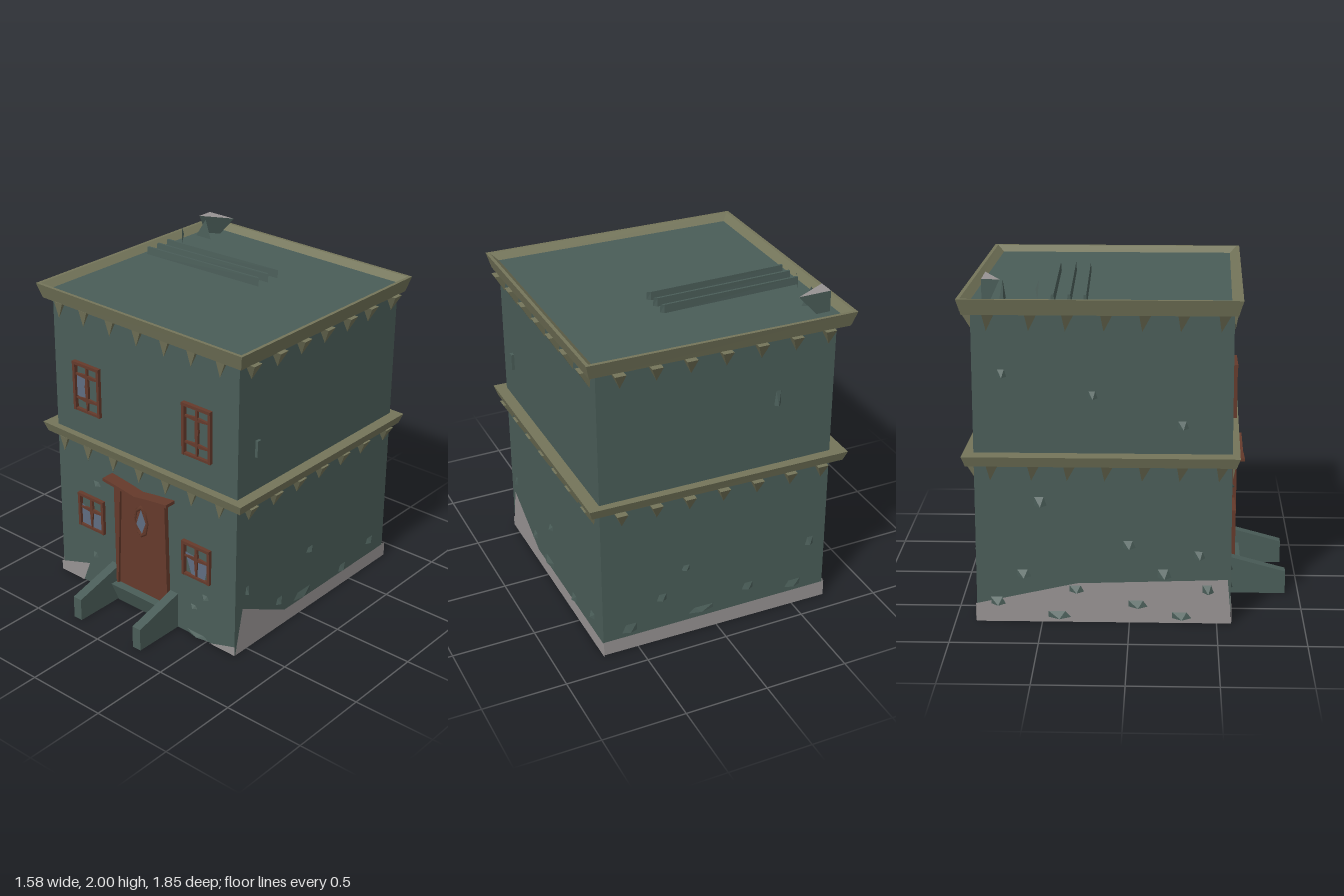
import * as THREE from 'three';

const mat = (name, color, side = THREE.DoubleSide) => {
  const m = new THREE.MeshStandardMaterial({ color, side });
  m.name = name;
  return m;
};

// Flat-faced geometry from a list of polygons, each a loop of [x, y, z] points
function faces(polys) {
  const pos = [];
  for (const p of polys)
    for (let i = 1; i < p.length - 1; i++) pos.push(...p[0], ...p[i], ...p[i + 1]);
  const g = new THREE.BufferGeometry();
  g.setAttribute('position', new THREE.Float32BufferAttribute(pos, 3));
  g.computeVertexNormals();
  return g;
}

// Skin between rings that run counter-clockwise seen from above, lowest first
function loft(rings, bottom = true, top = true) {
  const polys = [];
  for (let r = 0; r < rings.length - 1; r++) {
    const a = rings[r], b = rings[r + 1];
    a.forEach((p, i) => {
      const j = (i + 1) % a.length;
      polys.push([p, a[j], b[j], b[i]]);
    });
  }
  if (bottom) polys.push([...rings[0]].reverse());
  if (top) polys.push(rings[rings.length - 1]);
  return faces(polys);
}

const pyramid = (base, apex) =>
  faces([base, ...base.map((p, i) => [base[(i + 1) % base.length], p, apex])]);

// Points on the slightly crooked walls: u along the wall, v up, o outwards
const wall = {
  front: (u, v, o = 0) => [u, v, 0.59 + 0.015 * u - 0.005 * v + o],
  right: (u, v, o = 0) => [0.71 + 0.008 * v + o, v, u],
  back: (u, v, o = 0) => [u, v, -0.865 + 0.015 * u + 0.006 * v - o],
  left: (u, v, o = 0) => [-0.705 + 0.003 * v - o, v, u],
};
const bodyRing = (y) => {
  const xl = wall.left(0, y)[0], xr = wall.right(0, y)[0];
  return [wall.front(xl, y), wall.front(xr, y), wall.back(xr, y), wall.back(xl, y)];
};
// Cornice outline, pulled in by d
const corniceRing = (y, d) => [
  [-0.79 + d, y, 0.615 - d], [0.785 - d, y, 0.65 - d],
  [0.79 - d, y, -0.89 + d], [-0.79 + d, y, -0.93 + d],
];

export function createModel() {
  const plaster = mat('green plaster', 0x4a5d58);
  const trim = mat('olive trim', 0x74755a);
  const stone = mat('grey stone', 0x979393);
  const wood = mat('red brown wood', 0x653a2b);
  const glass = mat('blue glass', 0x5f6c80);

  const model = new THREE.Group();
  model.name = 'house';
  const add = (name, geo, m, parent = model) => {
    const mesh = new THREE.Mesh(geo, m);
    mesh.name = name;
    parent.add(mesh);
    return mesh;
  };
  const group = (name) => {
    const g = new THREE.Group();
    g.name = name;
    model.add(g);
    return g;
  };
  const box = (name, x0, x1, y0, y1, z0, z1, m, parent) =>
    add(name, new THREE.BoxGeometry(x1 - x0, y1 - y0, z1 - z0), m, parent)
      .position.set((x0 + x1) / 2, (y0 + y1) / 2, (z0 + z1) / 2);
  const extrude = (name, pts, z, depth, m, parent) => {
    const s = new THREE.Shape(pts.map(([x, y]) => new THREE.Vector2(x, y)));
    add(name, new THREE.ExtrudeGeometry(s, { depth, bevelEnabled: false }), m, parent).position.z = z;
  };

  // Hollow walls, open underneath, and the sunken roof
  add('walls', loft([bodyRing(0), bodyRing(1.84)], false, false), plaster);
  add('roof', faces([corniceRing(1.875, 0.06)]), plaster);

  // Cornices: a solid floor band and a roof rim with a sloping inner lip
  add('floorCornice', loft([corniceRing(0.96, 0.02), corniceRing(1.02, 0)]), trim);
  add('roofCornice', loft([corniceRing(1.82, 0.025), corniceRing(1.91, 0),
    corniceRing(1.91, 0.02), corniceRing(1.87, 0.065)], true, false), trim);

  // Pointed brackets under both cornices
  const brackets = group('brackets');
  const alongX = [-0.63, -0.43, -0.22, -0.01, 0.2, 0.4, 0.61];
  const alongZ = [0.52, 0.3, 0.09, -0.12, -0.33, -0.53, -0.76];
  for (const y of [0.962, 1.822])
    for (const side of Object.keys(wall)) {
      const at = wall[side];
      for (const u of side === 'front' || side === 'back' ? alongX : alongZ) {
        const o = side === 'front' ? 0.025 : 0.065;
        add('bracket', pyramid([at(u - 0.035, y), at(u + 0.03, y), at(u + 0.03, y, o), at(u - 0.035, y, o)],
          at(u - 0.02, y - 0.105, 0.005)), trim, brackets);
      }
    }

  // Bare stone showing at the foot of each wall
  const plinth = {
    front: [[[-0.715, 0], [-0.52, 0], [-0.465, 0.14], [-0.715, 0.06]], [[0.52, 0], [0.715, 0], [0.715, 0.06]]],
    right: [[[0.6, 0], [-0.875, 0], [-0.875, 0.09], [0.15, 0.09], [0.54, 0.29]]],
    back: [[[-0.715, 0], [0.715, 0], [0.715, 0.09], [-0.715, 0.1]]],
    left: [[[0.585, 0], [-0.88, 0], [-0.88, 0.11], [-0.3, 0.24], [0.56, 0.27]]],
  };
  for (const side in plinth)
    for (const p of plinth[side])
      add(side + 'Plinth', faces([p.map(([u, v]) => wall[side](u, v, 0.006))]), stone);

  // Windows: frame, tapered glazing bars and what is left of the panes
  const windows = [
    [-0.43, 1.18, 1.49, [[-0.09, 0.09], [-0.01, 0.08], [-0.01, 0.23], [-0.09, 0.23]]],
    [0.43, 1.18, 1.5, null],
    [-0.425, 0.4, 0.625, [[-0.09, 0.01], [0.09, 0.01], [0.09, 0.13], [0, 0.11], [-0.09, 0.15]]],
    [0.425, 0.4, 0.625, [[-0.09, 0.15], [-0.04, 0.01], [0.06, 0.01], [0.09, 0.13], [0, 0.12]]],
  ];
  for (const [x, y0, y1, pane] of windows) {
    const w = group('window'), r = 0.105, t = 0.018, z = wall.front(x, y0)[2];
    for (const s of [-1, 1]) {
      const c = x + s * (r - t / 2);
      box('windowJamb', c - t / 2, c + t / 2, y0, y1, z - 0.03, z + 0.022, wood, w);
    }
    box('windowSill', x - r, x + r, y0, y0 + t * 0.8, z - 0.03, z + 0.02, wood, w);
    box('windowHead', x - r, x + r, y1 - t, y1, z - 0.03, z + 0.024, wood, w);
    const cy = y0 + (y1 - y0) * (y0 > 1 ? 0.52 : 0.57);
    extrude('uprightBar', [[x - 0.003, y0], [x + 0.003, y0], [x + 0.013, cy], [x + 0.004, y1], [x - 0.004, y1], [x - 0.013, cy]], z, 0.016, wood, w);
    const rows = y0 > 1 ? [y0 + 0.08, y1 - 0.08] : [cy];
    for (const v of rows)
      extrude('crossBar', [[x - r, v - 0.003], [x, v - 0.013], [x + r, v - 0.003], [x + r, v + 0.003], [x, v + 0.013], [x - r, v + 0.003]], z, 0.014, wood, w);
    if (pane) add('pane', faces([pane.map(([u, v]) => wall.front(x + u, y0 + v, 0.007))]), glass, w);
  }

  // Door with leaning posts, sagging lintel and oval light
  const door = group('door');
  extrude('doorLeaf', [[-0.19, 0.1], [0.2, 0.1], [0.165, 0.79], [-0.16, 0.79]], 0.575, 0.03, wood, door);
  extrude('doorPost', [[-0.205, 0.13], [-0.19, 0.13], [-0.155, 0.78], [-0.16, 0.82], [-0.205, 0.835]], 0.58, 0.04, wood, door);
  extrude('doorPost', [[0.195, 0.13], [0.21, 0.13], [0.195, 0.835], [0.16, 0.82], [0.165, 0.78]], 0.58, 0.04, wood, door);
  extrude('doorHead', [[-0.16, 0.775], [0.165, 0.775], [0.165, 0.82], [0, 0.8], [-0.16, 0.82]], 0.58, 0.035, wood, door);
  extrude('lintel', [[-0.25, 0.825], [-0.1, 0.808], [0, 0.795], [0.1, 0.808], [0.25, 0.825], [0.25, 0.845], [0.1, 0.826], [0, 0.81], [-0.1, 0.826], [-0.25, 0.845]], 0.58, 0.085, wood, door);
  const oval = add('ovalFrame', new THREE.TorusGeometry(0.05, 0.008, 4, 8), wood, door);
  oval.scale.set(1, 1.85, 1);
  oval.position.set(0, 0.62, 0.608);
  add('ovalGlass', faces([[[-0.04, 0.59, 0.609], [0.005, 0.54, 0.609], [0.035, 0.62, 0.609], [0, 0.7, 0.609]]]), glass, door);

  // Undercut doorstep between two sloping side walls
  const steps = group('steps');
  const rect = (x0, x1, y, z0, z1) => [[x0, y, z1], [x1, y, z1], [x1, y, z0], [x0, y, z0]];
  add('doorstep', loft([rect(-0.2, 0.2, 0, 0.58, 0.61), rect(-0.21, 0.21, 0.13, 0.58, 0.66)]), plaster, steps);
  for (const s of [-1, 1]) {
    const a = s < 0 ? -0.27 : 0.21, b = a + 0.06;
    add('stepWall', loft([rect(a, b, 0, 0.57, 0.92),
      [[a, 0.14, 0.92], [b, 0.14, 0.92], [b, 0.235, 0.57], [a, 0.235, 0.57]]]), plaster, steps);
  }

  // Loose plaster chips: [u, v, width, height]
  const chips = {
    front: [[-0.38, 0.715, 0.06, 0.025], [-0.41, 0.21, 0.04, 0.03], [0.4, 0.19, 0.05, 0.02], [0.49, 0.285, 0.05, 0.025], [0.43, 0.005, 0.17, 0.02], [-0.3, 0.05, 0.05, 0.06]],
    right: [[-0.08, 0.39, 0.06, 0.03], [-0.02, 0.105, 0.16, 0.04], [0.2, 0.16, 0.06, 0.04], [-0.42, 0.1, 0.07, 0.04], [-0.7, 0.17, 0.07, 0.035], [0.5, 0.37, 0.03, 0.05]],
    back: [[-0.5, 0.13, 0.1, 0.04], [-0.2, 0.2, 0.07, 0.04], [0.1, 0.13, 0.16, 0.03], [0.35, 0.28, 0.06, 0.04], [0.55, 0.12, 0.09, 0.05], [-0.6, 0.4, 0.05, 0.05], [0.2, 0.45, 0.05, 0.03], [-0.35, 1.4, 0.04, 0.09]],
    left: [[-0.7, 1.46, 0.05, 0.04], [-0.2, 1.34, 0.05, 0.04], [0.3, 1.17, 0.06, 0.04], [-0.5, 0.71, 0.07, 0.05], [0, 0.46, 0.07, 0.04], [0.4, 0.4, 0.06, 0.04], [-0.6, 0.28, 0.08, 0.04], [0.2, 0.28, 0.08, 0.05], [-0.3, 0.19, 0.09, 0.04], [0.45, 0.19, 0.07, 0.05], [-0.75, 0.11, 0.09, 0.04], [0.05, 0.1, 0.12, 0.04], [-0.4, 0.03, 0.14, 0.04], [0.3, 0.03, 0.12, 0.04]],
  };
  const debris = group('plasterChips');
  for (const side in chips)
    for (const [u, v, w, h] of chips[side]) {
      const at = wall[side], o = side === 'left' ? 0.04 : 0.02;
      add('chip', pyramid([at(u - w / 2, v, 0.003), at(u + w / 2, v, 0.003), at(u + w / 4, v + h, 0.003), at(u - w / 2, v + h, 0.003)],
        at(u, v, o)), plaster, debris);
    }
  box('wallSlat', 0.71, 0.738, 1.23, 1.33, 0.42, 0.45, plaster, debris);

  // Three tapered planks lying on the roof
  for (const z of [-0.415, -0.325, -0.238])
    add('roofPlank', loft([
      [[-0.7, 1.87, z + 0.012], [0.16, 1.87, z - 0.01], [0.14, 1.87, z - 0.028], [-0.7, 1.87, z - 0.012]],
      [[-0.7, 1.92, z + 0.006], [0.16, 1.925, z - 0.014], [0.14, 1.925, z - 0.026], [-0.7, 1.92, z - 0.008]],
    ]), plaster);

  // Broken chimney stub with a stone top and stray shards
  const stubTop = [[-0.69, 2, -0.7], [-0.49, 2, -0.8], [-0.69, 2, -0.8]];
  add('chimneyStub', loft([[[-0.69, 1.87, -0.76], [-0.61, 1.87, -0.8], [-0.69, 1.87, -0.8]], stubTop], true, false), plaster);
  add('chimneyTop', faces([stubTop]), stone);
  add('chimneyShard', pyramid([[-0.7, 1.875, -0.68], [-0.58, 1.875, -0.68], [-0.64, 1.875, -0.71]], [-0.63, 1.99, -0.69]), plaster);
  add('chimneyShard', faces([[[-0.66, 1.875, -0.5], [-0.65, 1.94, -0.51], [-0.65, 1.99, -0.49]]]), plaster);
  return model;
}
